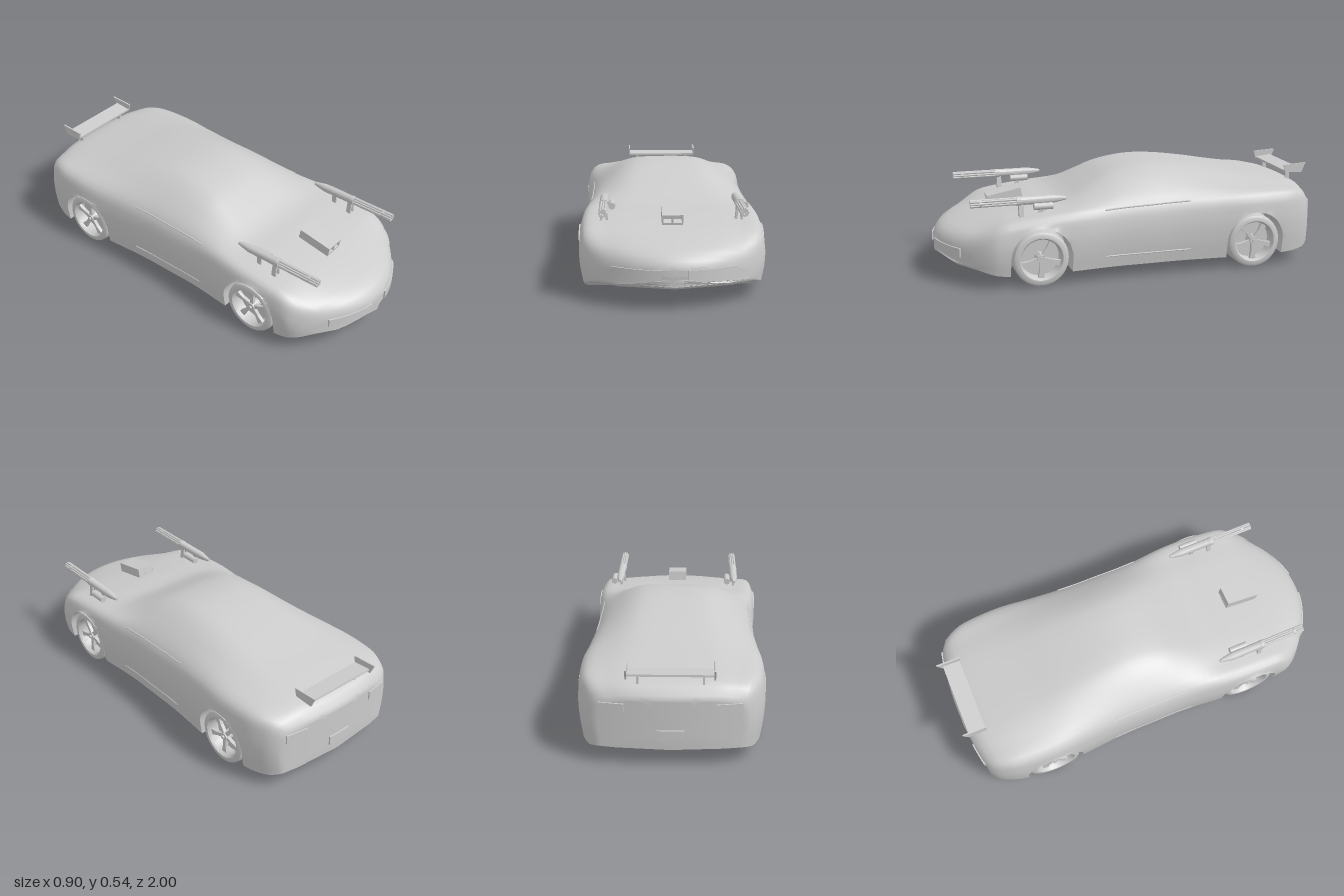
import * as THREE from 'three';
import { toCreasedNormals } from 'three/addons/utils/BufferGeometryUtils.js';

const grey = new THREE.MeshStandardMaterial({ color: 0xcccccc });
const thin = new THREE.MeshStandardMaterial({ color: 0xcccccc, side: THREE.DoubleSide });

// Body stations: z, top, belt height, half width, bottom, roof half width
const STATIONS = [
  [1, .19, .165, .36, .11, .2], [.985, .225, .2, .39, .1, .21], [.95, .255, .235, .41, .09, .22],
  [.85, .29, .275, .43, .078, .23], [.7, .33, .315, .44, .068, .24], [.52, .362, .34, .446, .065, .24],
  [.36, .385, .355, .44, .065, .23], [.2, .46, .36, .425, .065, .21], [.1, .505, .365, .42, .065, .2],
  [-.05, .535, .37, .42, .065, .19], [-.2, .533, .375, .42, .065, .19], [-.4, .503, .38, .432, .065, .2],
  [-.6, .462, .385, .447, .065, .21], [-.8, .425, .385, .435, .067, .22], [-.9, .405, .375, .41, .07, .22],
  [-.96, .38, .35, .385, .08, .22], [-.985, .34, .31, .35, .09, .2],
];
const ARCHES = [.52, -.612], ARCH_Y = .145, ARCH_R = .155, WELL_X = .25;

// Smooth interpolation between stations
function station(z) {
  const S = STATIONS, last = S.length - 1;
  let i = 0;
  while (i < last - 1 && z < S[i + 1][0]) i++;
  const h = S[i + 1][0] - S[i][0], t = (z - S[i][0]) / h;
  const slope = (k, c) => {
    const a = S[Math.max(k - 1, 0)], b = S[Math.min(k + 1, last)];
    return (b[c] - a[c]) / (b[0] - a[0]);
  };
  return [1, 2, 3, 4, 5].map(c => {
    const p = S[i][c], q = S[i + 1][c], m = slope(i, c) * h, n = slope(i + 1, c) * h;
    return p + m * t + (3 * (q - p) - 2 * m - n) * t * t + (2 * (p - q) + m + n) * t * t * t;
  });
}

// Sweeps the nose and tail back toward the corners
function bend(x, z) {
  if (z > .68) return z - 1.2 * x * x * Math.pow((z - .68) / .32, 1.3);
  if (z < -.8) return z + .3 * x * x * Math.min(1, (-.8 - z) / .185);
  return z;
}

// Half section from roof centre down to the sill
function sectionCurve(z) {
  const [T, B, W, bot, R] = station(z), d = T - B, h = B - bot, wb = W - .025;
  const pts = [[0, T], [.6 * R, T - .015 * d], [R, T - .09 * d], [R + (wb - R) * .45, T - .38 * d],
    [wb, B], [W, B - .3 * h], [W, B - .65 * h], [W - .015, bot]];
  return new THREE.CatmullRomCurve3(pts.map(p => new THREE.Vector3(p[0], p[1], 0)));
}

function ring(z, open, scale = 1, yc = 0) {
  const bot = station(z)[3];
  let low = bot;
  if (open !== undefined) low = ARCH_Y + Math.sqrt(Math.max(0, ARCH_R ** 2 - (z - open) ** 2));
  const half = sectionCurve(z).getPoints(28).map(p => [p.x, Math.max(p.y, low)]);
  half.push([WELL_X, low], [WELL_X, bot], [0, bot]);
  const mirrored = half.slice(1, -1).reverse().map(p => [-p[0], p[1]]);
  return [...half, ...mirrored].map(([x, y]) => {
    const sx = x * scale;
    return [sx, yc + (y - yc) * scale, bend(sx, z)];
  });
}

function bodyGeometry() {
  const stops = [];
  for (let i = 0; i <= 50; i++) {
    const z = 1 - 1.985 * i / 50;
    if (ARCHES.every(c => Math.abs(z - c) > ARCH_R + .005)) stops.push([z]);
  }
  stops.push([.985], [.993], [-.975]);
  for (const c of ARCHES) {
    stops.push([c + ARCH_R + .0005], [c - ARCH_R - .0005]);
    for (let i = 0; i <= 20; i++) stops.push([c + ARCH_R * Math.cos(Math.PI * i / 20), c]);
  }
  stops.sort((a, b) => b[0] - a[0]);
  const caps = [0, .3, .55, .8, .94];
  const rings = [
    ...caps.map(s => ring(1, undefined, s, .15)),
    ...stops.map(s => ring(s[0], s[1])),
    ...caps.reverse().map(s => ring(-.985, undefined, s, .2)),
  ];
  const n = rings[0].length, index = [];
  for (let i = 0; i < rings.length - 1; i++) {
    for (let j = 0; j < n; j++) {
      const a = i * n + j, b = i * n + (j + 1) % n;
      index.push(a, b, a + n, b, b + n, a + n);
    }
  }
  const g = new THREE.BufferGeometry();
  g.setAttribute('position', new THREE.Float32BufferAttribute(rings.flat(2), 3));
  g.setIndex(index);
  return toCreasedNormals(g, .7);
}

function add(parent, name, geometry, x = 0, y = 0, z = 0, material = grey) {
  const m = new THREE.Mesh(geometry, material);
  m.name = name;
  m.position.set(x, y, z);
  parent.add(m);
  return m;
}

const lathe = (pts, n) => toCreasedNormals(
  new THREE.LatheGeometry(pts.map(p => new THREE.Vector2(p[0], p[1])), n), .6);

// Box wrapped onto the curved nose or tail
function wrappedBox(x, y, w, h, z) {
  const g = new THREE.BoxGeometry(w, h, .014, 10, 1, 1).translate(x, y, 0), p = g.attributes.position;
  for (let i = 0; i < p.count; i++) p.setZ(i, p.getZ(i) + bend(p.getX(i), z));
  g.computeVertexNormals();
  return g;
}

// Headlight lens lying just above the bodywork
function headlight(side) {
  const g = new THREE.PlaneGeometry(1, 1, 6, 6), p = g.attributes.position;
  for (let i = 0; i < p.count; i++) {
    const z = .925 + p.getY(i) * .07, q = sectionCurve(z).getPoint(.505 + p.getX(i) * .08);
    p.setXYZ(i, side * (q.x + .001), q.y + .004, bend(q.x, z) + .003);
  }
  g.computeVertexNormals();
  return g;
}

function wheel(side, z) {
  const w = new THREE.Group();
  w.name = 'wheel';
  add(w, 'tyre', lathe([[0, -.06], [.095, -.06], [.105, -.08], [.125, -.085], [.137, -.07], [.14, -.05],
    [.14, .06], [.136, .076], [.125, .083], [.108, .083], [.104, .076], [.1, .07], [.098, .02], [0, .02]], 40), 0, 0, 0, thin);
  add(w, 'hub', new THREE.CylinderGeometry(.02, .026, .05, 20), 0, .045, 0);
  add(w, 'hubNut', new THREE.CylinderGeometry(.009, .009, .01, 6), 0, .074, 0);
  const shape = new THREE.Shape([[.012, -.01], [.06, -.009], [.102, -.017], [.102, .017], [.06, .009], [.012, .01]]
    .map(p => new THREE.Vector2(...p)));
  for (let i = 0; i < 5; i++) {
    const s = add(w, 'spoke', new THREE.ExtrudeGeometry(shape, { depth: .018, bevelEnabled: false }).rotateX(-Math.PI / 2), 0, .046, 0);
    s.rotation.y = i * Math.PI * 2 / 5;
  }
  w.rotation.set(0, 0, -side * Math.PI / 2);
  w.position.set(side * .345, .14, z);
  return w;
}

function hoodGun(x) {
  const g = new THREE.Group();
  g.name = 'hoodGun';
  const along = geo => geo.rotateX(Math.PI / 2);
  add(g, 'housing', along(lathe([[0, .37], [.008, .372], [.014, .4], [.021, .44], [.021, .6], [.023, .603], [.023, .622], [0, .622]], 16)), 0, .42, 0);
  for (let i = 0; i < 8; i++) {
    const a = i * Math.PI / 4;
    add(g, 'barrel', along(new THREE.CylinderGeometry(.0055, .0055, .25, 8)), Math.cos(a) * .015, .42 + Math.sin(a) * .015, .725);
  }
  add(g, 'barrelCollar', along(new THREE.CylinderGeometry(.0185, .0185, .012, 16)), 0, .42, .8);
  add(g, 'sideCanister', along(new THREE.CylinderGeometry(.017, .017, .095, 16)), .037, .395, .495);
  for (const [dx, z] of [[-.015, .6], [.015, .6], [0, .5]]) {
    const leg = add(g, 'leg', new THREE.BoxGeometry(.011, .085, .024), dx * .7, .37, z);
    leg.rotation.z = dx * 9;
  }
  g.position.x = x;
  return g;
}

function scoop() {
  const g = new THREE.Group();
  g.name = 'hoodScoop';
  const rect = (T, x, y, w, h) => new T([[x, y], [x + w, y], [x + w, y + h], [x, y + h]].map(p => new THREE.Vector2(...p)));
  const s = rect(THREE.Shape, -.05, -.025, .1, .05);
  s.holes.push(rect(THREE.Path, -.044, -.014, .04, .03), rect(THREE.Path, .004, -.014, .04, .03));
  add(g, 'duct', new THREE.ExtrudeGeometry(s, { depth: .18, bevelEnabled: false }), 0, 0, -.09);
  add(g, 'ductBack', new THREE.BoxGeometry(.098, .048, .13), 0, 0, -.024);
  g.position.set(0, .378, .632);
  g.rotation.x = .19;
  return g;
}

function spoiler() {
  const g = new THREE.Group();
  g.name = 'rearSpoiler';
  add(g, 'wing', new THREE.BoxGeometry(.4, .01, .09), 0, .452, -.925).rotation.x = .1;
  const plate = new THREE.Shape([[.87, .485], [.998, .492], [.975, .44], [.88, .445]].map(p => new THREE.Vector2(...p)));
  const geo = new THREE.ExtrudeGeometry(plate, { depth: .008, bevelEnabled: false }).rotateY(Math.PI / 2);
  for (const s of [-1, 1]) {
    add(g, 'endPlate', geo, s * .2 - .004, 0, 0);
    add(g, 'post', new THREE.BoxGeometry(.01, .07, .022), s * .15, .42, -.915);
  }
  return g;
}

export function createModel() {
  const car = new THREE.Group();
  car.name = 'sportsCar';
  add(car, 'body', bodyGeometry());
  for (const s of [-1, 1]) {
    for (const z of ARCHES) car.add(wheel(s, z));
    add(car, 'headlight', headlight(s), 0, 0, 0, thin);
    add(car, 'grille', wrappedBox(s * .175, .167, .23, .045, 1));
    add(car, 'tailLight', wrappedBox(s * .27, .295, .12, .045, -.985));
    car.add(hoodGun(s * .325));
    // Trim lines along belt and sill
    for (const [name, drop] of [['beltTrim', 0], ['sillTrim', 1]]) {
      const pts = [.19, .08, -.04, -.15, -.26].map(z => {
        const [, B, W] = station(z);
        return new THREE.Vector3(s * (drop ? W - .006 : W - .025), drop ? .125 : B, z);
      });
      add(car, name, new THREE.TubeGeometry(new THREE.CatmullRomCurve3(pts), 16, .004, 6));
    }
  }
  add(car, 'numberPlate', wrappedBox(0, .165, .13, .05, -.985));
  car.add(scoop(), spoiler());
  return car;
}
